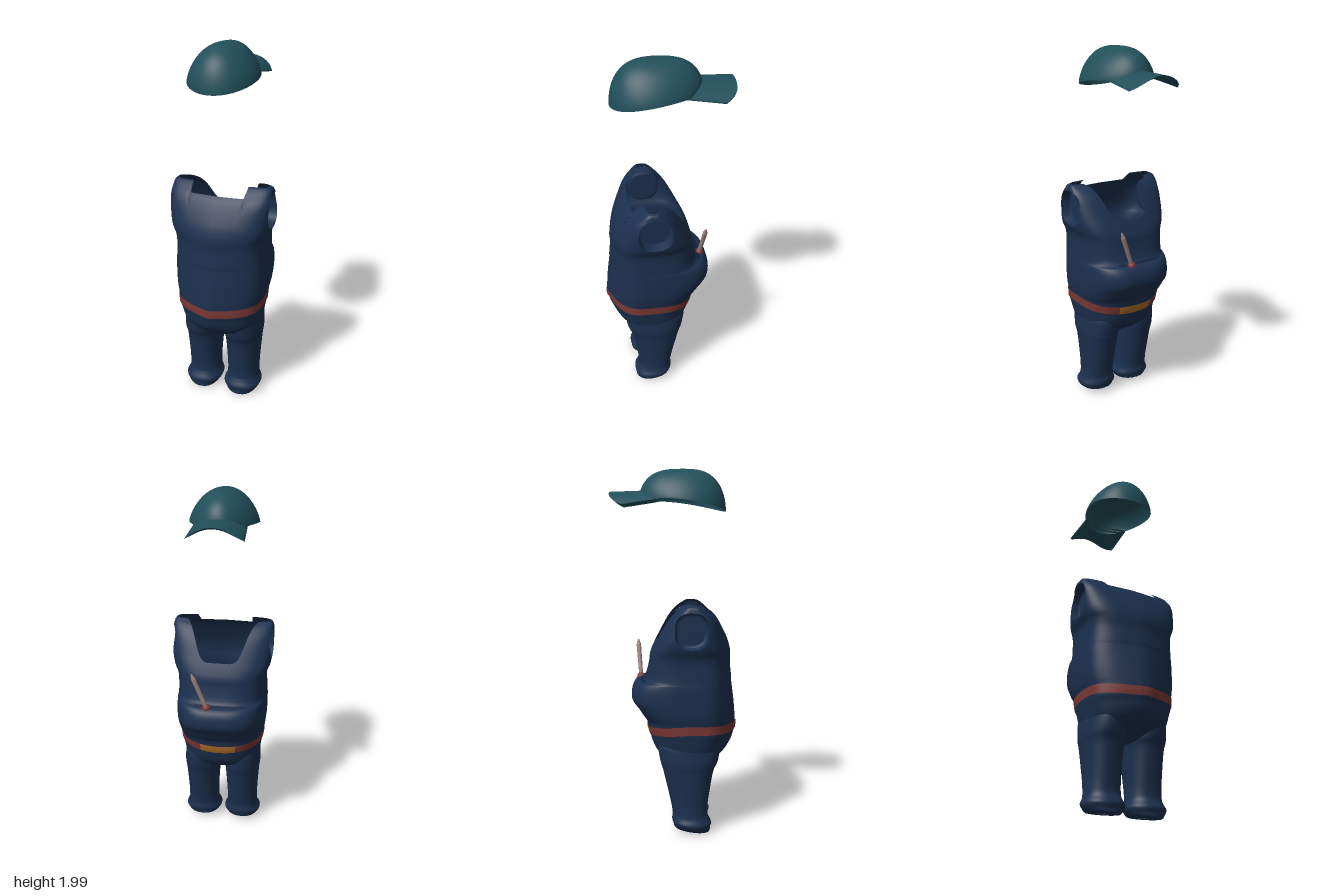
import * as THREE from 'three';

const mat = (name, color) => {
  const m = new THREE.MeshStandardMaterial({ color, side: THREE.DoubleSide });
  m.name = name;
  return m;
};
const { smoothstep, clamp } = THREE.MathUtils;

// Surface from f(u, v) on a grid; optionally closed in u, with some cells left out
function grid(nu, nv, f, closed = false, keep = () => true) {
  const pos = [], idx = [], cols = closed ? nu : nu + 1;
  for (let j = 0; j <= nv; j++)
    for (let i = 0; i < cols; i++) pos.push(...f(i / nu, j / nv));
  for (let j = 0; j < nv; j++)
    for (let i = 0; i < nu; i++) {
      const i2 = (i + 1) % cols;
      const a = j * cols + i, b = j * cols + i2, c = a + cols, d = b + cols;
      if (keep(i, j, i2)) idx.push(a, b, d, a, d, c);
    }
  const g = new THREE.BufferGeometry();
  g.setAttribute('position', new THREE.Float32BufferAttribute(pos, 3));
  g.setIndex(idx);
  g.computeVertexNormals();
  return g;
}

// Smooth interpolation through rows of [y, halfWidth, zBack, zFront]
function rowSampler(rows, center) {
  const n = rows.length - 1;
  const p = new THREE.CatmullRomCurve3(rows.map(r => new THREE.Vector3(r[0], r[1], 0)), false, 'catmullrom', 0.5);
  const q = new THREE.CatmullRomCurve3(rows.map(r => new THREE.Vector3(r[2], r[3], 0)), false, 'catmullrom', 0.5);
  return k => {
    const t = clamp(k / n, 0, 1), a = p.getPoint(t), b = q.getPoint(t);
    const c = center ?? (b.x + b.y) / 2;
    return { y: a.x, w: a.y, c, back: b.x - c, front: c - b.y };
  };
}

// Cross-section: squarish corners in front, a soft ridge down the middle of the back
const CX = -0.005;
const bodyShape = y => ({
  front: 0.82 - 0.14 * smoothstep(y, 0.55, 0.72) - 0.08 * smoothstep(y, 0.85, 0.97),
  back: 0.87 - 0.35 * smoothstep(y, 0.4, 0.58) - 0.12 * smoothstep(y, 1.08, 1.2),
  ridge: 0.3 * smoothstep(y, 0.4, 0.55) - 0.15 * smoothstep(y, 0.65, 1.1),
});
const roundShape = { front: 0.88, back: 0.88, ridge: 0 };
function ring(s, u, grow = 0, shape = bodyShape(s.y)) {
  const t = u * Math.PI * 2, sn = Math.sin(t), cs = Math.cos(t);
  const p = cs > 0 ? shape.back : shape.front;
  const x = Math.abs(sn) ** p, z = Math.abs(cs) ** p;
  const depth = cs > 0 ? (s.back + grow) * z * (1 - shape.ridge * x) : -(s.front + grow) * z;
  return [CX + (s.w + grow) * Math.sign(sn) * x, s.y, s.c + depth];
}

const body = rowSampler([
  [0.385, 0.09, 0.16, 0.02], [0.4, 0.14, 0.2, -0.02], [0.45, 0.205, 0.275, -0.09], [0.5, 0.221, 0.318, -0.12],
  [0.55, 0.23, 0.335, -0.135], [0.58, 0.235, 0.343, -0.145], [0.63, 0.238, 0.343, -0.155], [0.66, 0.245, 0.341, -0.175],
  [0.7, 0.25, 0.338, -0.2], [0.75, 0.252, 0.333, -0.235], [0.81, 0.252, 0.325, -0.234], [0.85, 0.25, 0.32, -0.21],
  [0.87, 0.248, 0.32, -0.165], [0.95, 0.245, 0.312, -0.142], [1.0, 0.25, 0.314, -0.135], [1.04, 0.268, 0.308, -0.12],
  [1.1, 0.28, 0.288, -0.09], [1.2, 0.284, 0.235, -0.035], [1.25, 0.278, 0.187, 0.01], [1.272, 0.27, 0.16, 0.045],
  [1.28, 0.255, 0.145, 0.06],
], 0.09);
const atHeight = y => {
  let lo = 0, hi = 20;
  for (let i = 0; i < 25; i++) { const m = (lo + hi) / 2; if (body(m).y < y) lo = m; else hi = m; }
  return body(lo);
};
// Half-width of the torso at a given depth and height
const halfWidth = (z, y) => {
  const s = atHeight(y);
  let lo = 0, hi = 0.5;
  for (let i = 0; i < 30; i++) { const m = (lo + hi) / 2; if (ring(s, m)[2] > z) lo = m; else hi = m; }
  return ring(s, lo)[0] - CX;
};

// Armhole outline
const HZ = 0.09, HY = 1.147, HRZ = 0.09, HRY = 0.098;
const holeDist = (z, y) => (Math.abs((z - HZ) / HRZ) ** 2.5 + Math.abs((y - HY) / HRY) ** 2.5) ** 0.4;

function torsoGeometry() {
  const nu = 160, low = 60, high = 40, nv = low + high;
  // neckline: scooped at the bib, straight at the back, full height at the shoulders
  const top = u => {
    const s = Math.abs(Math.sin(u * Math.PI * 2));
    return Math.cos(u * Math.PI * 2) > 0
      ? 17.5 + 2.5 * smoothstep(s, 0.19, 0.29)
      : 15.8 + 4.2 * smoothstep(s, 0.08, 0.75);
  };
  const inside = new Set();
  const f = (u, v) => {
    const j = Math.round(v * nv), i = Math.round(u * nu);
    const k = j <= low ? (15 * j) / low : 15 + ((top(u) - 15) * (j - low)) / high;
    const p = ring(body(k), u);
    const d = holeDist(p[2], p[1]);
    if (d < 1 && Math.abs(p[0]) > 0.2) {
      inside.add(j * nu + i);
      const e = 1 / Math.max(d, 0.01);
      p[2] = HZ + (p[2] - HZ) * e;
      p[1] = HY + (p[1] - HY) * e;
      p[0] = CX + Math.sign(p[0]) * halfWidth(p[2], p[1]);
    }
    return p;
  };
  const keep = (i, j, i2) => ![j * nu + i, j * nu + i2, (j + 1) * nu + i, (j + 1) * nu + i2].every(n => inside.has(n));
  return grid(nu, nv, f, true, keep);
}

// Armhole recess: an inward-turned lip and a closed bottom
function armholeGeometry(side) {
  return grid(48, 12, (u, v) => {
    const t = u * Math.PI * 2, c = Math.cos(t), s = Math.sin(t);
    const e = 1 / (Math.abs(c) ** 2.5 + Math.abs(s) ** 2.5) ** 0.4;
    const z = HZ + HRZ * c * e, y = HY + HRY * s * e;
    const lip = Math.min(1, v * 2), k = v < 0.5 ? 1 - 0.2 * v : 0.9 * (2 - 2 * v);
    const x = halfWidth(z, y) * (1 - lip) + 0.225 * lip;
    return [CX + side * x, HY + (y - HY) * k, HZ + (z - HZ) * k];
  }, true);
}

// Belt section between two angles, following the waist and dipping in front
const beltGeometry = (u0, u1, n) => grid(n, 3, (a, v) => {
  const u = u0 + (u1 - u0) * a, t = u * Math.PI * 2;
  const y = 0.57 + 0.048 * v + 0.014 * Math.abs(Math.sin(t)) - 0.02 * Math.max(0, -Math.cos(t));
  return ring(atHeight(y), u, 0.004);
});

// Trouser leg with a turned-up cuff and a sloping sole
const leg = rowSampler([
  [0.56, 0.082, 0.23, -0.07], [0.5, 0.098, 0.25, -0.09], [0.45, 0.103, 0.248, -0.085], [0.4, 0.105, 0.236, -0.075],
  [0.35, 0.099, 0.215, -0.06], [0.2, 0.09, 0.19, -0.025], [0.12, 0.09, 0.182, -0.01], [0.09, 0.095, 0.19, -0.012],
  [0.06, 0.107, 0.205, -0.012], [0.035, 0.1, 0.2, -0.005], [0.006, 0.075, 0.19, 0.005], [0.008, 0.026, 0.115, 0.07],
]);
const legGeometry = side => grid(40, 55, (u, v) => {
  const p = ring(leg(v * 11), -u, 0, roundShape);
  const tilt = clamp(1 - p[1] / 0.1, 0, 1);
  return [p[0] + side * 0.118, p[1] + tilt * 0.16 * (0.19 - p[2]), p[2]];
}, true);

// Cap crown: egg-shaped dome over a rim that dips at the back
const crownGeometry = () => grid(64, 20, (u, v) => {
  const t = u * Math.PI * 2, c = Math.cos(t), s = Math.sin(t), r = Math.sin((1 - v) * Math.PI / 2);
  const rim = 1.838 - 0.063 * (Math.max(0, 0.145 + 0.235 * s) / 0.38) ** 2;
  const wide = Math.max(0, 1 - r ** 2.2) ** 0.75, long = Math.sqrt(Math.max(0, 1 - r ** 3));
  const h = wide + (long - wide) * s * s;
  return [-0.013 + 0.183 * (1 + 0.1 * s) * c * r, rim + (2.0 - rim) * h, 0.045 + 0.235 * s * r];
}, true);

// Cap brim: arched, top and underside meeting in a rounded edge
const brimGeometry = () => grid(56, 16, (a, v) => {
  const under = a > 0.5, u = under ? 3 - 4 * a : 4 * a - 1;
  const z0 = -0.08 - 0.1 * (1 - u * u), z1 = -0.35 + 0.07 * Math.abs(u) ** 5;
  const thick = under ? 0.018 * (1 - u ** 8) * (1 - v ** 8) : 0;
  const y = 1.885 - 0.006 * v - (0.05 + 0.025 * v) * u * u - thick;
  return [-0.013 + (0.138 + 0.01 * v) * u, y, z0 + (z1 - z0) * v];
}, true);

export function createModel() {
  const model = new THREE.Group();
  const navy = mat('navy cloth', 0x1c304f), teal = mat('teal cap', 0x214f5a), red = mat('red belt', 0x7c3835);
  const orange = mat('orange buckle', 0xb06d2a), wood = mat('pale pencil', 0x9c837e);
  const dark = mat('dark slit', 0x16233c), light = mat('light blue opening', 0x456a9e);
  const add = (name, geo, m, parent = model) => {
    const mesh = new THREE.Mesh(geo, m);
    mesh.name = name;
    parent.add(mesh);
    return mesh;
  };

  // Overalls
  const overalls = new THREE.Group();
  overalls.name = 'overalls';
  model.add(overalls);
  add('torso', torsoGeometry(), navy, overalls);
  add('crotch', grid(48, 2, (u, v) => {
    const s = body(0);
    return ring({ y: s.y, w: s.w * v, c: s.c, back: s.back * v, front: s.front * v }, u);
  }, true), navy, overalls);
  for (const side of [-1, 1]) {
    const label = side > 0 ? 'left' : 'right';
    add(label + 'Leg', legGeometry(side), navy, overalls);
    add(label + 'Armhole', armholeGeometry(side), navy, overalls);
    const opening = add(label + 'LegOpening', new THREE.CircleGeometry(0.029, 20), light, overalls);
    opening.rotation.x = Math.PI / 2 + 0.146;
    opening.position.set(CX + side * 0.118, 0.0212, 0.092);
  }

  // Belt with a front section in another colour
  add('belt', beltGeometry(-0.445, 0.445, 120), red);
  add('beltFront', beltGeometry(0.445, 0.555, 24), orange);

  // Pocket slit
  add('pocketSlit', grid(20, 1, (a, v) => ring(atHeight(0.858 + 0.007 * v), 0.44 + 0.14 * a, 0.003)), dark);

  // Pencil leaning out of the pocket
  const pencil = new THREE.Group();
  pencil.name = 'pencil';
  const from = new THREE.Vector3(0.05, 0.855, -0.187), to = new THREE.Vector3(0.126, 1.058, -0.205);
  const dir = to.clone().sub(from), len = dir.length();
  pencil.position.copy(from);
  pencil.quaternion.setFromUnitVectors(new THREE.Vector3(0, 1, 0), dir.normalize());
  add('pencilShaft', new THREE.CylinderGeometry(0.013, 0.011, len - 0.03, 10), wood, pencil).position.y = (len - 0.03) / 2;
  add('pencilTip', new THREE.CylinderGeometry(0.005, 0.013, 0.03, 10), wood, pencil).position.y = len - 0.015;
  add('pencilBead', new THREE.SphereGeometry(0.024, 14, 10), red, pencil);
  model.add(pencil);

  // Cap
  const cap = new THREE.Group();
  cap.name = 'cap';
  add('crown', crownGeometry(), teal, cap);
  add('brim', brimGeometry(), teal, cap);
  model.add(cap);
  return model;
}
